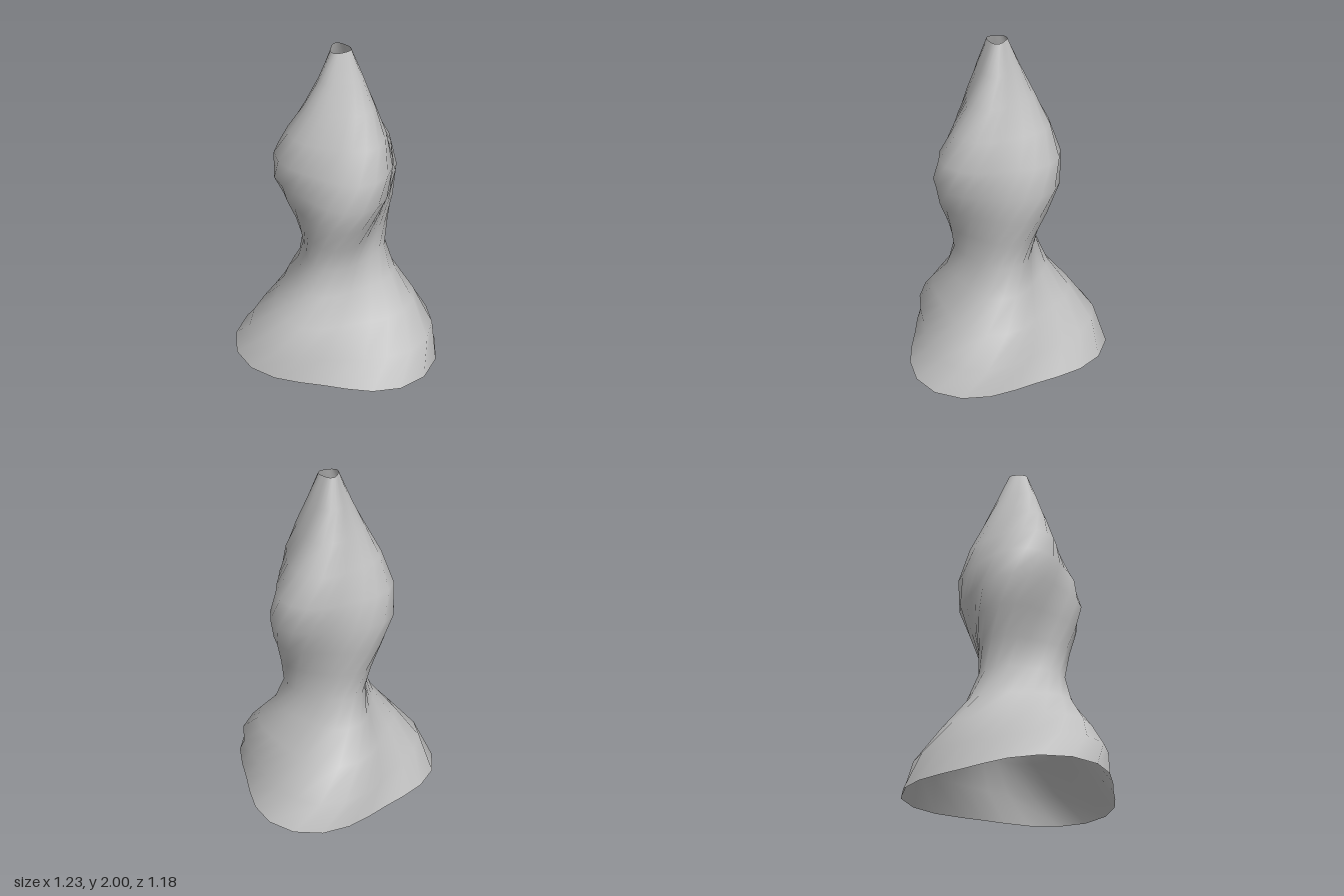
import * as THREE from 'three';

const SIDES = 24;
const HEIGHT = 2;
const TWIST = -2.7;      // total turn from base to tip, radians
const LOBE = 0.122;      // strength of the three rounded corners
const CENTRE_Z = 0.072;
// mean radius of each evenly spaced ring, base to tip
const RADII = [0.587, 0.522, 0.402, 0.289, 0.238, 0.258, 0.303, 0.343, 0.33, 0.266, 0.187, 0.117, 0.055];

// Loft of rounded-triangle rings, each turned a little further than the last
function twistedLoft() {
  const positions = [], indices = [];
  const steps = RADII.length - 1;
  RADII.forEach((radius, j) => {
    const turn = -Math.PI / 2 + TWIST * j / steps;
    for (let i = 0; i < SIDES; i++) {
      const t = i / SIDES * Math.PI * 2;
      const r = radius * (1 + LOBE * Math.cos(3 * t));
      positions.push(r * Math.cos(t + turn), HEIGHT * j / steps, CENTRE_Z + r * Math.sin(t + turn));
    }
  });
  for (let j = 0; j < steps; j++) {
    for (let i = 0; i < SIDES; i++) {
      const a = j * SIDES + i, b = j * SIDES + (i + 1) % SIDES;
      indices.push(a, a + SIDES, b, b, a + SIDES, b + SIDES);
    }
  }
  const geometry = new THREE.BufferGeometry();
  geometry.setAttribute('position', new THREE.Float32BufferAttribute(positions, 3));
  geometry.setIndex(indices);
  geometry.computeVertexNormals();
  return geometry;
}

export function createModel() {
  const group = new THREE.Group();
  group.name = 'twistedVase';

  const grey = new THREE.MeshStandardMaterial({ color: 0xc0c0c0, side: THREE.DoubleSide });
  grey.name = 'light grey';

  // Thin shell, open at the base and the tip
  const shell = new THREE.Mesh(twistedLoft(), grey);
  shell.name = 'shell';
  group.add(shell);
  return group;
}
